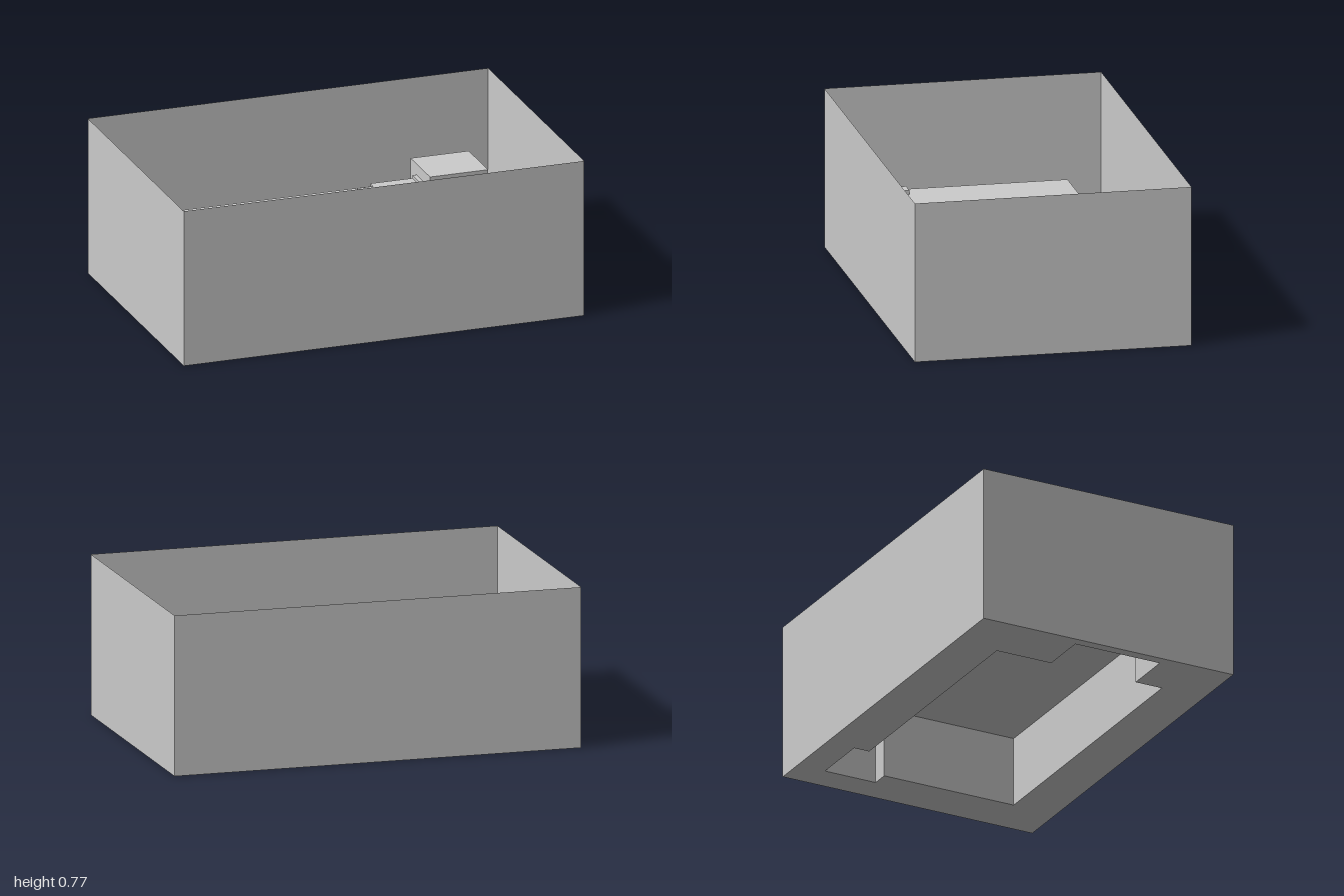
import * as THREE from 'three';

const material = new THREE.MeshStandardMaterial({ color: 0xcccccc, side: THREE.DoubleSide, flatShading: true });

// Corner points [x, z] of a rectangle
const rect = (x0, x1, z0, z1) => [[x0, z1], [x1, z1], [x1, z0], [x0, z0]];
const toVectors = (points) => points.map(([x, z]) => new THREE.Vector2(x, -z));

export function createModel() {
  const model = new THREE.Group();

  const add = (name, geometry) => {
    const mesh = new THREE.Mesh(geometry, material);
    mesh.name = name;
    model.add(mesh);
  };

  // Thin horizontal sheet at height y, with optional holes
  const sheet = (name, points, y, holes = []) => {
    const shape = new THREE.Shape(toVectors(points));
    for (const hole of holes) shape.holes.push(new THREE.Path(toVectors(hole)));
    add(name, new THREE.ShapeGeometry(shape).rotateX(-Math.PI / 2).translate(0, y, 0));
  };

  // Thin upright walls along a path, from height y0 to y1
  const walls = (name, points, y0, y1, closed = false) => {
    const path = closed ? [...points, points[0]] : points;
    const position = [];
    for (let i = 0; i < path.length - 1; i++) {
      const [ax, az] = path[i], [bx, bz] = path[i + 1];
      position.push(ax, y0, az, bx, y0, bz, bx, y1, bz, ax, y0, az, bx, y1, bz, ax, y1, az);
    }
    const geometry = new THREE.BufferGeometry();
    geometry.setAttribute('position', new THREE.Float32BufferAttribute(position, 3));
    geometry.computeVertexNormals();
    add(name, geometry);
  };

  const roofY = 0.345, stepY = 0.36, sideY = 0.375, towerY = 0.43, annexY = 0.203;
  const border = rect(-1, 1, -0.665, 0.665);
  const chimney = rect(-0.69, -0.62, 0.34, 0.41);

  // Outer enclosure and its floor, cut out under the building
  walls('outerWalls', border, 0, 0.775, true);
  sheet('floor', border, 0, [[
    [-0.71, 0.44], [0.765, 0.44], [0.765, -0.25], [0.85, -0.25], [0.85, -0.52], [0.56, -0.52],
    [0.56, -0.44], [-0.71, -0.44], [-0.71, -0.15], [-0.95, -0.15], [-0.95, 0.3], [-0.71, 0.3],
  ]]);

  // Main block, open below and into the annex and tower
  walls('mainFrontWalls', [[-0.71, 0.3], [-0.71, 0.44], [0.765, 0.44], [0.765, -0.25]], 0, roofY);
  walls('mainBackWalls', [[0.56, -0.44], [-0.71, -0.44], [-0.71, -0.15]], 0, roofY);
  walls('wallAboveAnnex', [[-0.71, -0.15], [-0.71, 0.3]], annexY, roofY);
  sheet('mainRoof', [
    [-0.71, 0.44], [0.765, 0.44], [0.765, -0.19], [0.54, -0.19], [0.54, -0.11], [0.25, -0.11],
    [0.25, -0.4], [0.33, -0.4], [0.33, -0.44], [-0.71, -0.44],
  ], roofY, [chimney]);

  // Low side annex
  walls('annexWalls', [[-0.71, 0.3], [-0.95, 0.3], [-0.95, -0.15], [-0.71, -0.15]], 0, annexY);
  sheet('annexRoof', rect(-0.95, -0.71, -0.15, 0.3), annexY);

  // Stepped roof near the tower
  const step = [[0.25, -0.11], [0.54, -0.11], [0.54, -0.44], [0.33, -0.44], [0.33, -0.4], [0.25, -0.4]];
  const side = [[0.54, -0.19], [0.765, -0.19], [0.765, -0.25], [0.56, -0.25], [0.56, -0.44], [0.54, -0.44]];
  walls('stepWalls', step, roofY, stepY, true);
  sheet('stepRoof', step, stepY);
  walls('sideStepWalls', side, roofY, sideY, true);
  sheet('sideStepRoof', side, sideY);

  // Corner tower
  walls('towerWalls', [[0.765, -0.25], [0.85, -0.25], [0.85, -0.52], [0.56, -0.52], [0.56, -0.44]], 0, towerY);
  walls('towerUpperWalls', [[0.56, -0.44], [0.56, -0.25], [0.765, -0.25]], sideY, towerY);
  sheet('towerRoof', rect(0.56, 0.85, -0.52, -0.25), towerY);

  // Chimney and shallow roof panels
  walls('chimneyWalls', chimney, roofY, 0.365, true);
  sheet('chimneyTop', chimney, 0.365);
  for (const [name, panel, y] of [
    ['roofPanel', rect(0.05, 0.45, -0.32, -0.095), 0.35],
    ['roofHatch', rect(0.06, 0.16, -0.2, -0.1), 0.355],
  ]) {
    walls(name + 'Edge', panel, roofY, y, true);
    sheet(name, panel, y);
  }

  return model;
}
